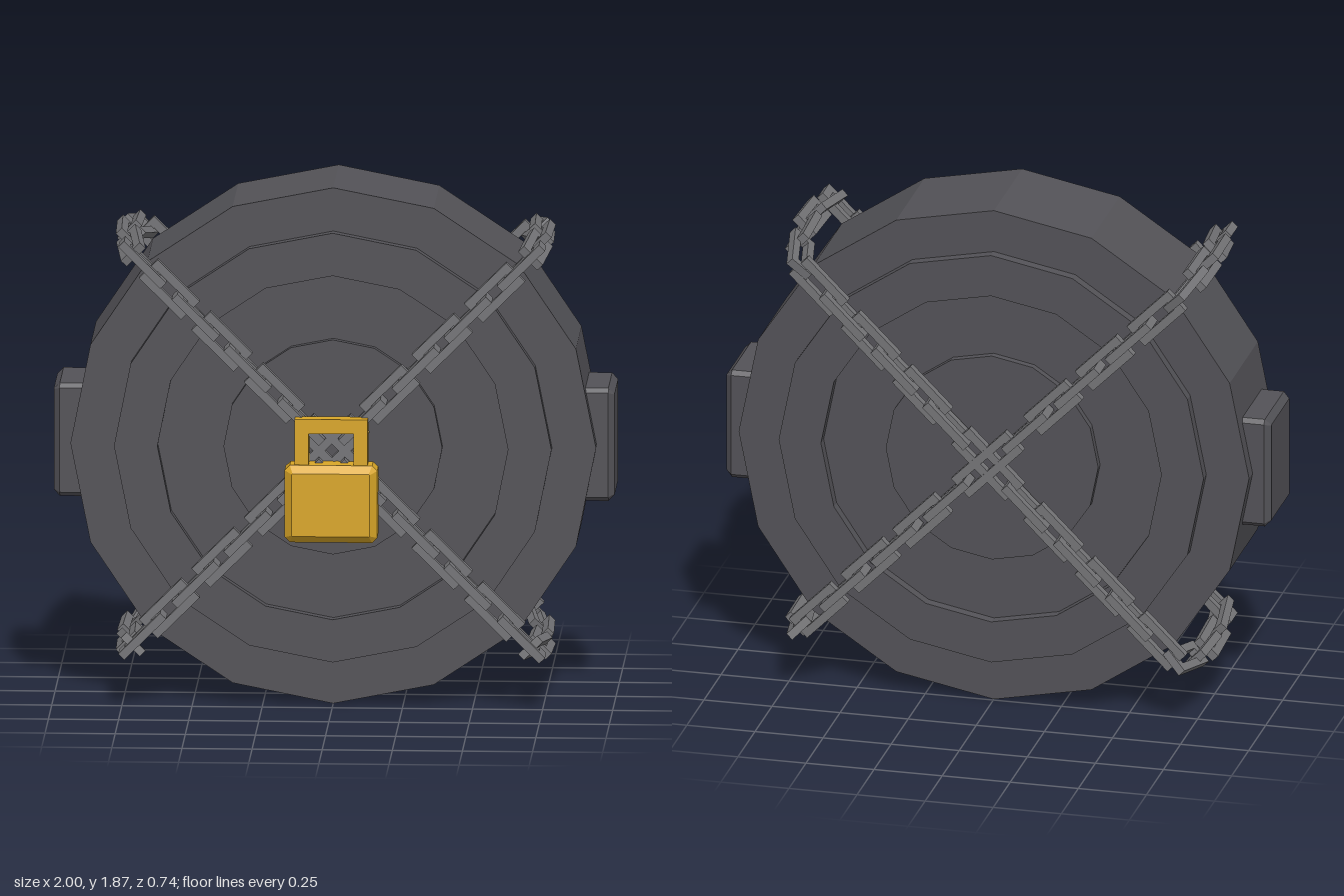
import * as THREE from 'three';

const CY = 0.9375; // height of the disc axis
const ZC = -0.035; // middle of the disc thickness

const paint = (color) => new THREE.MeshStandardMaterial({ color, flatShading: true });

function polygon(points, Type = THREE.Shape) {
  return new Type(points.map(([x, y]) => new THREE.Vector2(x, y)));
}

function rect(w, h, Type) {
  return polygon([[-w / 2, -h / 2], [w / 2, -h / 2], [w / 2, h / 2], [-w / 2, h / 2]], Type);
}

// Box centred on the origin with chamfered edges and clipped corners
function chamferBox(w, h, d, b) {
  const x = w / 2, y = h / 2, c = b * 0.7;
  const shape = polygon([
    [-x + c, -y], [x - c, -y], [x, -y + c], [x, y - c],
    [x - c, y], [-x + c, y], [-x, y - c], [-x, -y + c],
  ]);
  const geo = new THREE.ExtrudeGeometry(shape, {
    depth: d - 2 * b, bevelThickness: b, bevelSize: b, bevelOffset: -b, bevelSegments: 1,
  });
  return geo.translate(0, 0, -d / 2 + b);
}

// Square-section chain link lying in the xy plane, long axis on x
function linkGeometry(length) {
  const bar = 0.03, width = 0.095;
  const shape = rect(length, width);
  shape.holes.push(rect(length - 2 * bar, width - 2 * bar, THREE.Path));
  return new THREE.ExtrudeGeometry(shape, { depth: bar, bevelEnabled: false }).translate(0, 0, -bar / 2);
}

export function createModel() {
  const model = new THREE.Group();
  const dark = paint(0x535257);
  const steel = paint(0x747477);
  const brass = paint(0xd9a627);

  const add = (parent, name, geo, mat, x = 0, y = 0, z = 0) => {
    const mesh = new THREE.Mesh(geo, mat);
    mesh.name = name;
    mesh.position.set(x, y, z);
    parent.add(mesh);
    return mesh;
  };

  // Sixteen-sided disc with a raised ring and raised centre on both faces
  const face = [[0.937, 0.207], [0.78, 0.207], [0.78, 0.247], [0.625, 0.247],
    [0.625, 0.207], [0.39, 0.207], [0.39, 0.235], [0, 0.235]];
  const profile = [
    ...face.map(([r, z]) => new THREE.Vector2(r, -z)).reverse(),
    ...face.map(([r, z]) => new THREE.Vector2(r, z)),
  ];
  add(model, 'discBody', new THREE.LatheGeometry(profile, 16).rotateX(Math.PI / 2), dark, 0, CY, ZC);

  // Side blocks
  for (const side of [1, -1]) {
    const block = chamferBox(0.31, 0.41, 0.16, 0.022).rotateY(side * Math.PI / 2);
    add(model, side > 0 ? 'leftBlock' : 'rightBlock', block, dark, side * 0.92, CY, ZC);
  }

  // Chain arms: each link is [radius, z, direction in degrees, turned on edge]
  const front = 0.25, back = -0.325;
  const links = [
    [0.155, front, 0, true], [0.29, front, 0, false], [0.424, front, 0, true],
    [0.555, front, 0, false], [0.686, front, 0, true], [0.82, front, 0, false],
    [0.955, front, 0, true],
    [1.02, 0.17, -80, false], [1.04, 0.03, -88, true],
    [1.035, -0.11, -92, false], [1.0, -0.25, -105, true],
    [0.877, back, 0, false], [0.742, back, 0, true], [0.608, back, 0, false],
    [0.474, back, 0, true], [0.34, back, 0, false], [0.205, back, 0, true],
  ];
  const linkGeo = linkGeometry(0.212);
  const centreGeo = linkGeometry(0.28);
  for (let i = 0; i < 4; i++) {
    const arm = new THREE.Group();
    arm.name = 'chainArm' + (i + 1);
    arm.position.y = CY;
    arm.rotation.z = Math.PI / 4 + i * Math.PI / 2;
    for (const [r, z, deg, onEdge] of links) {
      const link = add(arm, 'chainLink', linkGeo, steel, r, 0, z);
      link.rotation.order = 'YXZ';
      link.rotation.y = -THREE.MathUtils.degToRad(deg);
      if (onEdge) link.rotation.x = Math.PI / 2;
    }
    // Crossing links at the middle, one per diagonal
    if (i < 2) {
      add(arm, 'frontCentreLink', centreGeo, steel, 0, 0, front + i * 0.002);
      add(arm, 'backCentreLink', centreGeo, steel, 0, 0, back - i * 0.002);
    }
    model.add(arm);
  }

  // Padlock: chamfered body and square shackle
  const padlock = new THREE.Group();
  padlock.name = 'padlock';
  add(padlock, 'padlockBody', chamferBox(0.33, 0.28, 0.13, 0.026), brass, 0, 0.76, 0.305);
  const hoop = polygon([
    [-0.13, 0.87], [-0.08, 0.87], [-0.08, 1.013], [0.08, 1.013],
    [0.08, 0.87], [0.13, 0.87], [0.13, 1.065], [-0.13, 1.065],
  ].reverse());
  add(padlock, 'shackle', new THREE.ExtrudeGeometry(hoop, { depth: 0.055, bevelEnabled: false }), brass, 0, 0, 0.28);
  model.add(padlock);

  return model;
}
